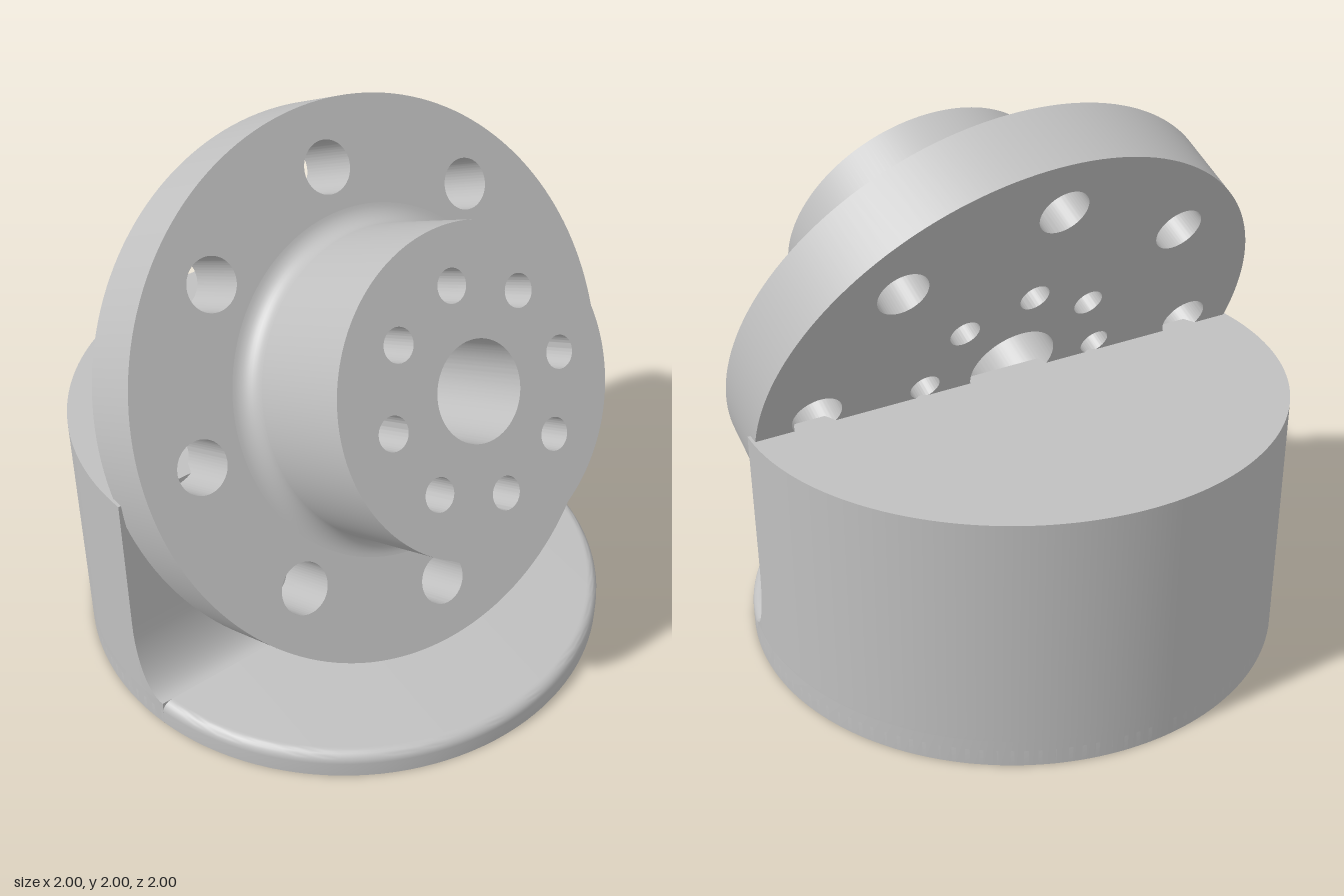
import * as THREE from 'three';
import { toCreasedNormals } from 'three/addons/utils/BufferGeometryUtils.js';

const TILT = THREE.MathUtils.degToRad(25.6);
const FLANGE = { radius: 0.99, depth: 0.269 };
const BOSS = { radius: 0.548, depth: 0.508, fillet: 0.07 };
const BASE = { height: 0.1, lip: 0.04 };
const BLOCK = { height: 0.945, wallZ: 0.07, filletZ: 0.13, filletY: 0.3 };

// Eight bolt holes evenly spaced on a circle
function holeRing(circleRadius, radius) {
  return Array.from({ length: 8 }, (_, i) => {
    const a = (i * Math.PI) / 4;
    return { x: circleRadius * Math.cos(a), y: circleRadius * Math.sin(a), radius };
  });
}

// Round plate along +z, pierced by round holes
function drilledDisc(radius, depth, holes) {
  const shape = new THREE.Shape().absarc(0, 0, radius, 0, Math.PI * 2);
  for (const h of holes) {
    shape.holes.push(new THREE.Path().absarc(h.x, h.y, h.radius, 0, Math.PI * 2, true));
  }
  const geo = new THREE.ExtrudeGeometry(shape, { depth, bevelEnabled: false, curveSegments: 80 });
  return toCreasedNormals(geo, 0.6);
}

// Cylinder cut by a chord, whose front wall flares into the base
function blockGeometry() {
  const levels = [[0, BLOCK.wallZ + BLOCK.filletZ]];
  for (let i = 0; i <= 14; i++) {
    const a = (i / 14) * Math.PI / 2;
    levels.push([
      BASE.height + BLOCK.filletY * (1 - Math.cos(a)),
      BLOCK.wallZ + BLOCK.filletZ * (1 - Math.sin(a)),
    ]);
  }
  levels.push([BLOCK.height, BLOCK.wallZ]);

  const N = 90;
  const positions = [];
  const index = [];
  for (const [y, z] of levels) {
    const start = -Math.asin(z);
    for (let i = 0; i <= N; i++) {
      const t = start + (i / N) * (Math.PI - 2 * start);
      positions.push(Math.cos(t), y, -Math.sin(t));
    }
  }
  const ring = N + 1;
  for (let l = 0; l < levels.length - 1; l++) {
    for (let i = 0; i < ring; i++) {
      const a = l * ring + i;
      const b = l * ring + ((i + 1) % ring);
      index.push(a, b, b + ring, a, b + ring, a + ring);
    }
  }
  // Flat top
  const top = (levels.length - 1) * ring;
  const centre = positions.length / 3;
  positions.push(0, BLOCK.height, -0.4);
  for (let i = 0; i < ring; i++) index.push(centre, top + i, top + ((i + 1) % ring));

  const geo = new THREE.BufferGeometry();
  geo.setAttribute('position', new THREE.Float32BufferAttribute(positions, 3));
  geo.setIndex(index);
  return toCreasedNormals(geo, 0.6);
}

// Base disc with a rounded upper lip
function baseGeometry() {
  const pts = [new THREE.Vector2(0, 0), new THREE.Vector2(1, 0)];
  for (let i = 0; i <= 8; i++) {
    const a = (i / 8) * Math.PI / 2;
    pts.push(new THREE.Vector2(
      1 - BASE.lip + BASE.lip * Math.cos(a),
      BASE.height - BASE.lip + BASE.lip * Math.sin(a),
    ));
  }
  pts.push(new THREE.Vector2(0, BASE.height));
  return toCreasedNormals(new THREE.LatheGeometry(pts, 128), 0.6);
}

// Concave blend between the boss and the flange
function bossFilletGeometry() {
  const pts = [];
  for (let i = 0; i <= 10; i++) {
    const a = (i / 10) * Math.PI / 2;
    pts.push(new THREE.Vector2(
      BOSS.radius + BOSS.fillet * (1 - Math.sin(a)),
      FLANGE.depth + BOSS.fillet * (1 - Math.cos(a)),
    ));
  }
  return new THREE.LatheGeometry(pts, 128).rotateX(Math.PI / 2);
}

export function createModel() {
  const model = new THREE.Group();
  model.name = 'flangedMount';
  const grey = new THREE.MeshStandardMaterial({ color: 0xc0c0c0 });
  grey.name = 'light grey';

  const add = (parent, name, geometry) => {
    const mesh = new THREE.Mesh(geometry, grey);
    mesh.name = name;
    parent.add(mesh);
    return mesh;
  };

  // Support
  add(model, 'baseDisc', baseGeometry());
  add(model, 'halfRoundBlock', blockGeometry());

  // Tilted head
  const head = new THREE.Group();
  head.name = 'tiltedHead';
  head.position.y = 0.992;
  head.rotation.x = -TILT;
  model.add(head);

  const bossHoles = [{ x: 0, y: 0, radius: 0.17 }, ...holeRing(0.357, 0.057)];
  const flangeHoles = [...bossHoles, ...holeRing(0.77, 0.092)];
  add(head, 'flange', drilledDisc(FLANGE.radius, FLANGE.depth, flangeHoles));
  add(head, 'boss', drilledDisc(BOSS.radius, BOSS.depth, bossHoles)).position.z = FLANGE.depth;
  add(head, 'bossFillet', bossFilletGeometry());

  return model;
}
